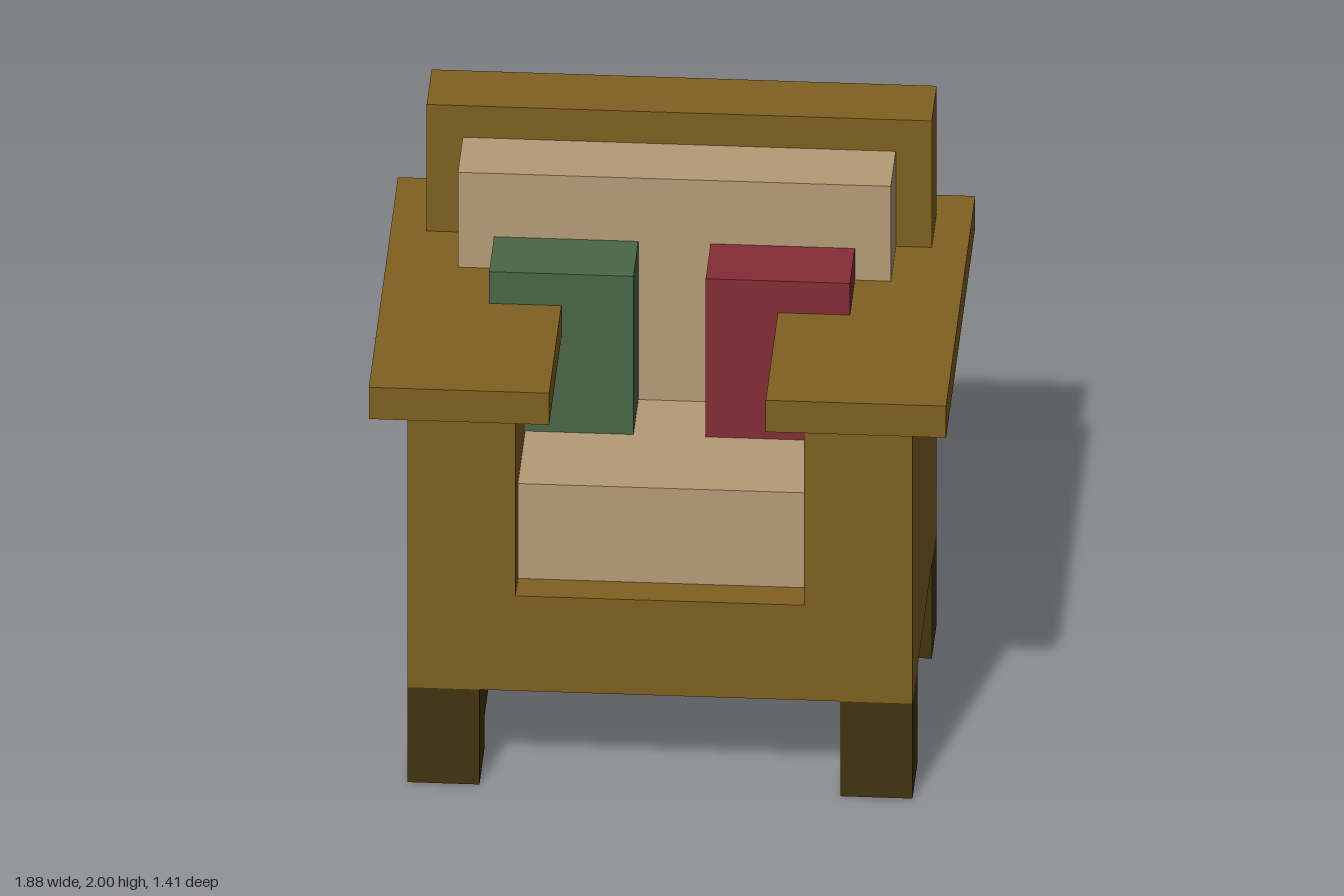
import * as THREE from 'three';

// Everything sits on a grid of 17 steps over the 2 unit height
const U = 2 / 17;

function material(name, color) {
  const m = new THREE.MeshStandardMaterial({ color });
  m.name = name;
  return m;
}

export function createModel() {
  const group = new THREE.Group();
  group.name = 'armchair';
  const wood = material('brown wood', 0x7f6020);
  const darkWood = material('dark wood', 0x40340f);
  const fabric = material('beige fabric', 0xb59b77);
  const green = material('green fabric', 0x4a6647);
  const red = material('red fabric', 0x842c36);

  // Box given by its limits in grid steps
  function box(name, mat, [x0, x1], [y0, y1], [z0, z1]) {
    const geo = new THREE.BoxGeometry((x1 - x0) * U, (y1 - y0) * U, (z1 - z0) * U);
    const mesh = new THREE.Mesh(geo, mat);
    mesh.position.set((x0 + x1) * U / 2, (y0 + y1) * U / 2, (z0 + z1) * U / 2);
    mesh.name = name;
    group.add(mesh);
  }

  // Frame
  box('seatBase', wood, [-7, 7], [3, 6], [-5, 5]);
  box('backrest', wood, [-7, 7], [6, 17], [-5, -3]);

  // Mirrored sides: arms, armrests, legs and the rails between them
  for (const [side, s] of [['left', 1], ['right', -1]]) {
    const span = (a, b) => (s > 0 ? [a, b] : [-b, -a]);
    box(side + 'Arm', wood, span(4, 7), [6, 12], [-3, 5]);
    box(side + 'Armrest', wood, span(3, 8), [12, 13], [-6, 6]);
    box(side + 'FrontLeg', darkWood, span(5, 7), [0, 3], [3, 5]);
    box(side + 'BackLeg', darkWood, span(5, 7), [0, 3], [-5, -3]);
    box(side + 'LegRail', darkWood, span(5, 6), [1, 2], [-3, 3]);
  }

  // Upholstery
  box('seatCushion', fabric, [-4, 4], [6, 9], [-3, 4]);
  box('backCushion', fabric, [-6, 6], [9, 16], [-3, -1]);

  // Loose pillows
  box('rightPillow', green, [-5, -1], [9, 14], [-1, 1]);
  box('leftPillow', red, [1, 5], [9, 14], [-1, 1]);

  return group;
}
